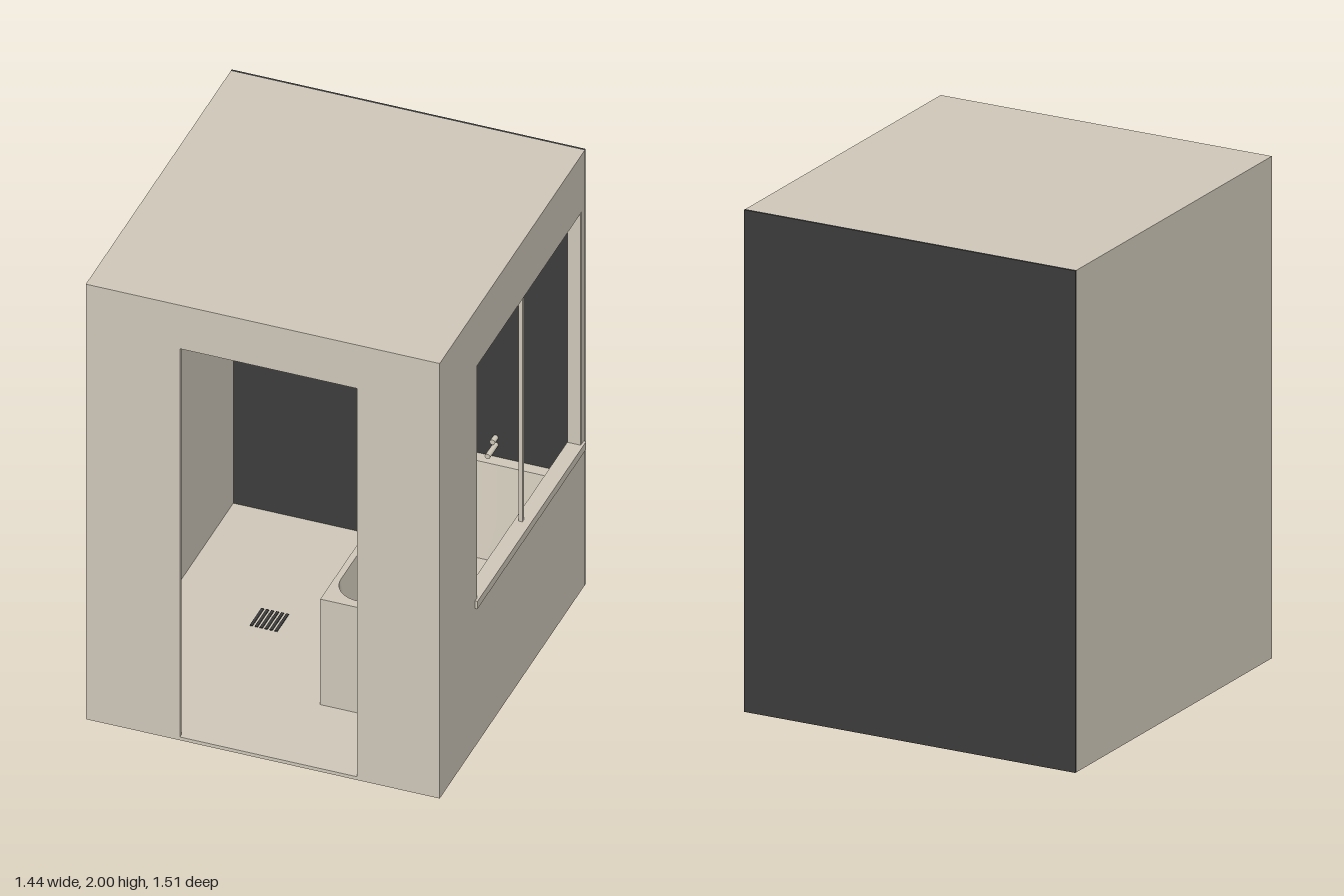
import * as THREE from 'three';
import { toCreasedNormals } from 'three/addons/utils/BufferGeometryUtils.js';

const mat = (name, color) => Object.assign(new THREE.MeshStandardMaterial({ color }), { name });

export function createModel() {
  const room = new THREE.Group();
  room.name = 'showerRoom';
  const stone = mat('warm beige', 0xd2cbbc);
  const dark = mat('charcoal', 0x3d3d3d);

  const add = (name, geometry, material = stone, parent = room) => {
    const mesh = new THREE.Mesh(geometry, material);
    mesh.name = name;
    parent.add(mesh);
    return mesh;
  };
  // Box given by its limits on each axis
  const box = (name, [x0, x1], [y0, y1], [z0, z1], material, parent) => {
    const g = new THREE.BoxGeometry(x1 - x0, y1 - y0, z1 - z0);
    g.translate((x0 + x1) / 2, (y0 + y1) / 2, (z0 + z1) / 2);
    return add(name, g, material, parent);
  };
  // Cylinder along z
  const rod = (name, r0, r1, x, y, z0, z1, material, parent) => {
    const g = new THREE.CylinderGeometry(r1, r0, z1 - z0, 24);
    g.rotateX(Math.PI / 2).translate(x, y, (z0 + z1) / 2);
    return add(name, g, material, parent);
  };
  const outline = (x0, x1, y0, y1, r = 0, Type = THREE.Shape) => {
    const s = new Type();
    if (!r) {
      s.moveTo(x0, y0); s.lineTo(x1, y0); s.lineTo(x1, y1); s.lineTo(x0, y1); s.closePath();
      return s;
    }
    s.moveTo(x0 + r, y0);
    s.absarc(x1 - r, y0 + r, r, -Math.PI / 2, 0);
    s.absarc(x1 - r, y1 - r, r, 0, Math.PI / 2);
    s.absarc(x0 + r, y1 - r, r, Math.PI / 2, Math.PI);
    s.absarc(x0 + r, y0 + r, r, Math.PI, Math.PI * 1.5);
    return s;
  };
  const extrude = (shape, depth) =>
    new THREE.ExtrudeGeometry(shape, { depth, bevelEnabled: false, curveSegments: 10 });

  // Shell: floor, ceiling, walls
  box('floor', [-0.71, 0.7], [0, 0.015], [-0.745, 0.755]);
  box('ceiling', [-0.72, 0.71], [1.985, 2], [-0.745, 0.755]);
  box('backWall', [-0.72, 0.71], [0, 2], [-0.755, -0.745], dark);
  box('rightWall', [-0.72, -0.71], [0, 1.985], [-0.745, 0.74]);

  const front = new THREE.Shape([
    [-0.72, 0], [-0.34, 0], [-0.34, 1.8], [0.375, 1.8], [0.375, 0],
    [0.71, 0], [0.71, 1.985], [-0.72, 1.985],
  ].map(([x, y]) => new THREE.Vector2(x, y)));
  add('frontWall', extrude(front, 0.015).translate(0, 0, 0.74));

  const side = outline(-0.74, 0.745, 0, 1.985);
  side.holes.push(outline(-0.37, 0.71, 0.65, 1.74, 0, THREE.Path));
  add('windowWall', extrude(side, 0.01).rotateY(Math.PI / 2).translate(0.7, 0, 0));

  // Window frame, mullion and sill
  const win = new THREE.Group();
  win.name = 'window';
  room.add(win);
  const frame = outline(-0.375, 0.715, 0.645, 1.745);
  frame.holes.push(outline(-0.365, 0.705, 0.66, 1.735, 0, THREE.Path));
  add('windowFrame', extrude(frame, 0.052).rotateY(Math.PI / 2).translate(0.657, 0, 0), stone, win);
  box('mullion', [0.672, 0.688], [0.66, 1.735], [-0.173, -0.157], stone, win);
  box('sill', [0.655, 0.72], [0.635, 0.67], [-0.735, 0.39], stone, win);

  // Bathtub: rounded well narrowing toward the bottom
  const tub = new THREE.Group();
  tub.name = 'bathtub';
  room.add(tub);
  const rim = outline(0.075, 0.7, -0.365, 0.745);
  rim.holes.push(outline(0.1, 0.665, -0.325, 0.695, 0.11, THREE.Path));
  const tubGeo = extrude(rim, 0.4).rotateX(-Math.PI / 2).translate(0, 0.1, 0);
  const p = tubGeo.attributes.position;
  for (let i = 0; i < p.count; i++) {
    const x = p.getX(i), z = p.getZ(i);
    const inWell = x > 0.09 && x < 0.68 && z > -0.72 && z < 0.345;
    if (inWell && p.getY(i) < 0.2) {
      p.setX(i, 0.3825 + (x - 0.3825) * 0.85);
      p.setZ(i, -0.185 + (z + 0.185) * 0.88);
    }
  }
  add('tubShell', toCreasedNormals(tubGeo, 0.6), stone, tub);
  box('tubBase', [0.075, 0.7], [0.015, 0.1], [-0.745, 0.365], stone, tub);

  // Tub taps on the back wall
  rod('tubSpout', 0.011, 0.011, 0.35, 0.555, -0.745, -0.66, stone, tub);
  rod('tubTap', 0.011, 0.011, 0.35, 0.588, -0.745, -0.71, stone, tub);
  box('rimFitting', [0.085, 0.12], [0.5, 0.507], [-0.735, -0.715], stone, tub);

  // Shower: rail, head, hose and mixer
  const shower = new THREE.Group();
  shower.name = 'shower';
  room.add(shower);
  add('rail', new THREE.CylinderGeometry(0.01, 0.01, 1.645, 16).translate(0.037, 0.8375, -0.708), stone, shower);
  for (const y of [0.1, 1.62]) rod('railBracket', 0.008, 0.008, 0.037, y, -0.745, -0.708, stone, shower);
  rod('showerHead', 0.034, 0.043, 0.037, 1.497, -0.69, -0.638, stone, shower);
  rod('headHolder', 0.016, 0.016, 0.037, 1.497, -0.72, -0.685, stone, shower);
  const hosePath = new THREE.CatmullRomCurve3([
    [0.037, 1.545, -0.648], [0.035, 1.44, -0.625], [0.02, 1.36, -0.608], [-0.04, 1.24, -0.597],
    [-0.1, 1.12, -0.6], [-0.105, 1.03, -0.618], [-0.075, 0.92, -0.655], [-0.06, 0.845, -0.685],
  ].map((v) => new THREE.Vector3(...v)));
  add('hose', new THREE.TubeGeometry(hosePath, 60, 0.006, 10), stone, shower);
  box('mixerBody', [-0.16, 0.018], [0.835, 0.876], [-0.745, -0.7], stone, shower);
  for (const x of [-0.125, -0.02]) {
    rod('mixerKnob', 0.014, 0.014, x, 0.855, -0.7, -0.637, stone, shower);
    add('knobRing', new THREE.TorusGeometry(0.017, 0.003, 8, 24).translate(x, 0.855, -0.699), dark, shower);
  }
  rod('hoseOutlet', 0.01, 0.01, -0.06, 0.848, -0.7, -0.68, stone, shower);

  // Wall shelves
  for (const y of [1.025, 1.245]) box('shelf', [0.147, 0.287], [y - 0.01, y + 0.01], [-0.745, -0.675]);

  // Floor drain slats
  for (let i = 0; i < 6; i++) {
    const x = -0.36 + i * 0.02;
    box('drainSlat', [x, x + 0.011], [0.015, 0.019], [-0.14, -0.02], dark);
  }
  return room;
}
